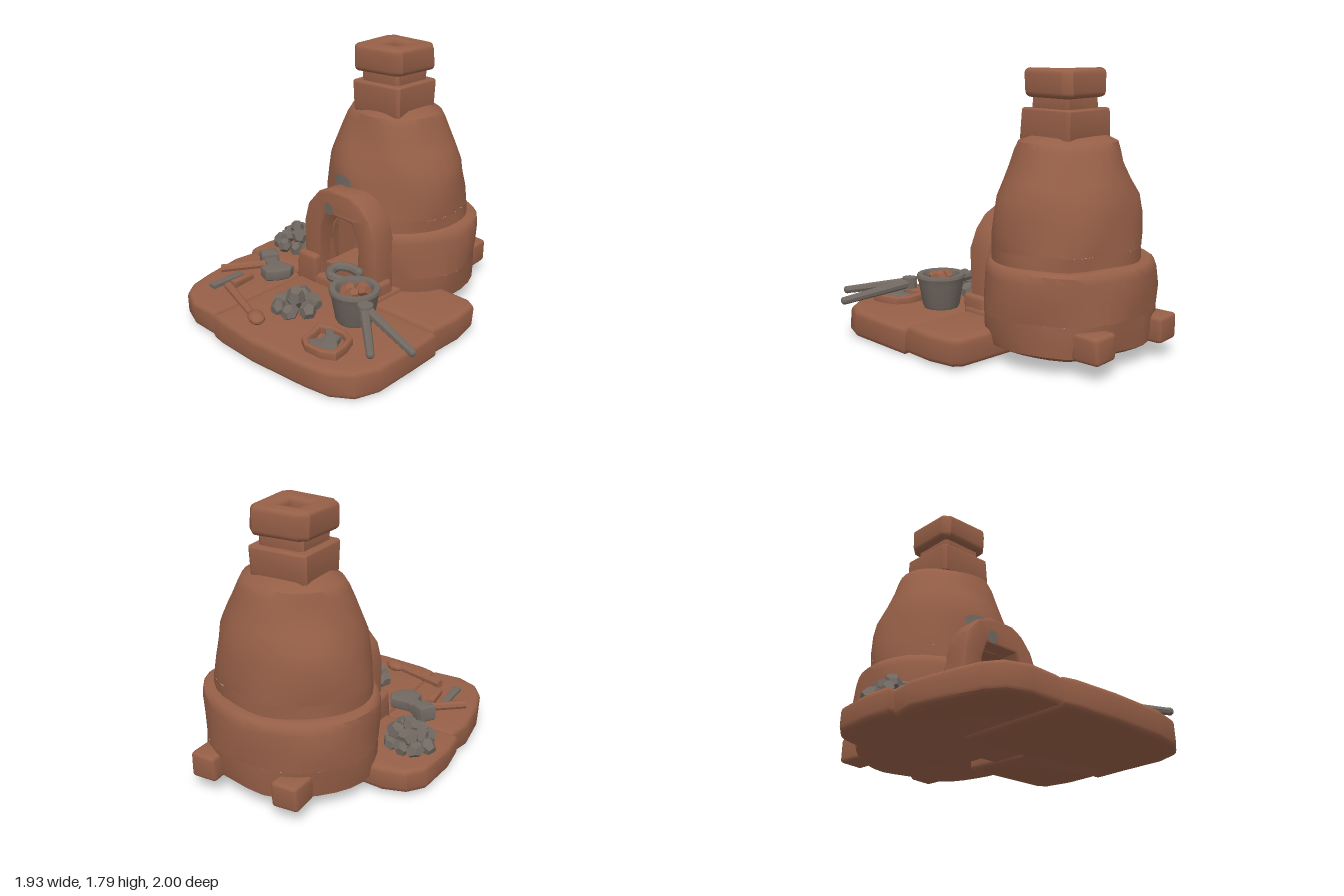
import * as THREE from 'three';
import { toCreasedNormals } from 'three/addons/utils/BufferGeometryUtils.js';
import { RoundedBoxGeometry } from 'three/addons/geometries/RoundedBoxGeometry.js';

const clay = new THREE.MeshStandardMaterial({ color: 0x965f47 });
clay.name = 'clay';
const stone = new THREE.MeshStandardMaterial({ color: 0x716861 });
stone.name = 'grey stone and iron';

const V = (x, y, z) => new THREE.Vector3(x, y, z);

export function createModel() {
  const model = new THREE.Group();

  // Hand-shaped unevenness: a smooth displacement that depends only on position
  function wobble(geo, amount) {
    const p = geo.attributes.position;
    for (let i = 0; i < p.count; i++) {
      const x = p.getX(i), y = p.getY(i), z = p.getZ(i);
      p.setXYZ(i,
        x + amount * Math.sin(11 * y + 9 * z + 1),
        y + amount * 0.6 * Math.sin(10 * x + 8 * z + 2),
        z + amount * Math.sin(12 * x + 10 * y));
    }
    return geo;
  }
  function add(name, geo, mat = clay, parent = model, crease = 0.6) {
    const mesh = new THREE.Mesh(toCreasedNormals(geo, crease), mat);
    mesh.name = name;
    parent.add(mesh);
    return mesh;
  }
  function group(name) {
    const g = new THREE.Group();
    g.name = name;
    model.add(g);
    return g;
  }
  const outline = pts => pts.map(([x, y]) => new THREE.Vector2(x, y));

  // Flat piece from an x/z outline, between two heights, with soft edges
  function slab(name, pts, y0, y1, bevel, mat = clay, parent = model, hole = null, rough = 0.006) {
    const shape = new THREE.Shape(outline(pts));
    if (hole) shape.holes.push(new THREE.Path(outline(hole)));
    const geo = new THREE.ExtrudeGeometry(shape, {
      depth: y1 - y0 - 2 * bevel, bevelEnabled: true, bevelThickness: bevel,
      bevelSize: bevel, bevelOffset: -bevel, bevelSegments: 3, steps: 1,
    });
    geo.rotateX(Math.PI / 2).translate(0, y1 - bevel, 0);
    return add(name, wobble(geo, rough), mat, parent);
  }
  function block(name, x0, x1, y0, y1, z0, z1, parent = model, r = 0.03) {
    const geo = new RoundedBoxGeometry(x1 - x0, y1 - y0, z1 - z0, 2, r);
    geo.translate((x0 + x1) / 2, (y0 + y1) / 2, (z0 + z1) / 2);
    return add(name, wobble(geo, 0.006), clay, parent);
  }
  // Round bar between two points
  function rod(name, a, b, ra, rb, mat, parent) {
    const d = b.clone().sub(a);
    const mesh = add(name, new THREE.CylinderGeometry(rb, ra, d.length(), 8), mat, parent);
    mesh.position.copy(a).addScaledVector(d, 0.5);
    mesh.quaternion.setFromUnitVectors(V(0, 1, 0), d.normalize());
    return mesh;
  }
  function lump(name, x, y, z, r, mat, parent, squash = 0.85) {
    const mesh = add(name, wobble(new THREE.DodecahedronGeometry(r, 0), r * 0.14), mat, parent, 0.3);
    mesh.position.set(x, y, z);
    mesh.rotation.set(x * 17, z * 23, y * 31);
    mesh.scale.set(1, squash, 1.05);
    return mesh;
  }

  // Paving slabs
  slab('frontLeftPaving', [[-0.4, 0.185], [-0.9, 0.18], [-0.93, 0.35], [-0.9, 0.62], [-0.84, 0.8],
    [-0.76, 0.9], [-0.62, 0.955], [-0.4, 0.95]], 0.01, 0.185, 0.035);
  slab('frontPaving', [[-0.4, 0.185], [0.79, 0.18], [0.805, 0.4], [0.79, 0.7], [0.73, 0.85], [0.6, 0.94],
    [0.42, 0.98], [0, 0.995], [-0.3, 0.985], [-0.4, 0.96]], 0, 0.18, 0.035);
  slab('backRightPaving', [[0.1, 0.18], [0.77, 0.18], [0.785, -0.05], [0.765, -0.24], [0.7, -0.285],
    [0.1, -0.3]], 0.01, 0.195, 0.035);
  slab('backLeftPaving', [[-0.25, 0.18], [-0.94, 0.17], [-0.965, 0], [-0.935, -0.28], [-0.85, -0.385],
    [-0.7, -0.425], [-0.25, -0.42]], 0.03, 0.2, 0.04);

  // Furnace body, lathed in bands; the bands around the mouth leave a gap at the front
  const cx = -0.058, furnace = group('furnace');
  function band(name, pts, cz, gap) {
    const geo = new THREE.LatheGeometry(outline(pts), 30, gap, Math.PI * 2 - 2 * gap);
    geo.scale(1, 1, 0.89).translate(cx, 0, cz);
    add(name, wobble(geo, 0.009), clay, furnace, 0.75);
  }
  band('footing', [[0, 0.08], [0.5, 0.08], [0.555, 0.11], [0.57, 0.2], [0.575, 0.3]], -0.45, 0);
  band('footingUpper', [[0.575, 0.3], [0.58, 0.42], [0.575, 0.54], [0.565, 0.59], [0.54, 0.61], [0.48, 0.61]], -0.45, 0.29);
  band('domeLower', [[0.51, 0.56], [0.51, 0.62], [0.508, 0.69]], -0.42, 0.32);
  band('dome', [[0.508, 0.69], [0.505, 0.78], [0.49, 0.9], [0.472, 1.0], [0.425, 1.1], [0.38, 1.2],
    [0.35, 1.28], [0.325, 1.33], [0.24, 1.365], [0, 1.37]], -0.42, 0);

  // Lining of the mouth
  const lining = group('mouthLining');
  const plate = (name, w, h, d, x, y, z) => add(name, new THREE.BoxGeometry(w, h, d).translate(x, y, z), clay, lining);
  plate('mouthBack', 0.38, 0.42, 0.02, cx, 0.495, -0.2);
  plate('mouthFloor', 0.38, 0.02, 0.32, cx, 0.295, -0.05);
  plate('mouthCeiling', 0.38, 0.02, 0.26, cx, 0.7, -0.08);
  for (const s of [-1, 1]) plate('mouthSide', 0.02, 0.42, 0.28, cx + s * 0.18, 0.495, -0.07);

  // Arch around the mouth
  const arch = new THREE.ExtrudeGeometry(new THREE.Shape(outline([[-0.38, 0.17], [-0.38, 0.6], [-0.34, 0.73],
    [-0.25, 0.83], [-0.15, 0.87], [0.04, 0.87], [0.13, 0.83], [0.21, 0.74], [0.255, 0.61], [0.255, 0.17],
    [0.11, 0.17], [0.11, 0.58], [0.06, 0.69], [-0.175, 0.69], [-0.23, 0.58], [-0.23, 0.17]])), {
    depth: 0.15, bevelEnabled: true, bevelSize: 0.02, bevelThickness: 0.02, bevelOffset: -0.02, bevelSegments: 2,
  });
  add('arch', wobble(arch.translate(0, 0, -0.01), 0.006), clay, furnace);
  block('threshold', -0.42, 0.3, 0.03, 0.23, -0.1, 0.19, furnace);
  block('hearthStep', -0.24, 0.12, 0.1, 0.3, -0.1, 0.09, furnace);
  block('leftArchFoot', 0.1, 0.29, 0.15, 0.31, 0, 0.2, furnace);
  block('rightArchFoot', -0.425, -0.24, 0.15, 0.37, 0, 0.205, furnace);

  // Blocks at the back of the footing
  for (const x of [-0.36, 0.24]) block('backFoot', x - 0.09, x + 0.09, 0.1, 0.27, -0.995, -0.8, furnace, 0.025);

  // Chimney: collar, neck and cap sharing one square flue
  const chimney = group('chimney');
  const square = (h, c) => [[-h + c, -h], [h - c, -h], [h, -h + c], [h, h - c], [h - c, h], [-h + c, h], [-h, h - c], [-h, -h + c]]
    .map(([x, z]) => [x + cx, z - 0.39]);
  const flue = [[-0.07, -0.07], [-0.07, 0.07], [0.07, 0.07], [0.07, -0.07]].map(([x, z]) => [x + cx, z - 0.395]);
  slab('chimneyCollar', square(0.203, 0.02), 1.33, 1.535, 0.015, clay, chimney, flue);
  slab('chimneyNeck', square(0.155, 0.02), 1.5, 1.63, 0.01, clay, chimney, flue);
  slab('chimneyCap', square(0.205, 0.05), 1.6, 1.78, 0.035, clay, chimney, flue);

  // Pale patches above the mouth
  const patch = new THREE.CircleGeometry(1, 14).scale(0.09, 0.05, 1).translate(-0.14, 0.885, 0);
  const pp = patch.attributes.position;
  for (let i = 0; i < pp.count; i++) {
    const y = pp.getY(i), r = 0.493 - (y - 0.88) * 0.16, dx = pp.getX(i) - cx;
    pp.setZ(i, -0.42 + 0.89 * Math.sqrt(r * r - dx * dx) + 0.01);
  }
  add('domePatch', wobble(patch, 0.009), stone);
  add('archPatch', wobble(new THREE.CircleGeometry(1, 12).scale(0.042, 0.043, 1).translate(-0.14, 0.735, 0.166), 0.006), stone);

  // Heaps of ore: rings of lumps, smaller towards the top
  function heap(name, x, z, y, layers) {
    const g = group(name);
    layers.forEach(([count, radius, height, size], k) => {
      for (let i = 0; i < count; i++) {
        const a = i / count * Math.PI * 2 + k * 0.6;
        lump('lump', x + radius * Math.cos(a), y + height, z + radius * 1.08 * Math.sin(a), size * (1 + 0.12 * Math.sin(i * 5)), stone, g);
      }
    });
  }
  heap('sideHeap', -0.725, -0.095, 0.19, [[8, 0.12, 0.045, 0.062], [5, 0.075, 0.11, 0.062], [1, 0, 0.16, 0.06]]);
  heap('frontHeap', -0.06, 0.56, 0.17, [[6, 0.11, 0.045, 0.066], [1, 0.01, 0.095, 0.075]]);

  // Crucible with lumps inside
  const crucible = group('crucible');
  const pot = new THREE.LatheGeometry(outline([[0, 0.18], [0.115, 0.18], [0.125, 0.2], [0.15, 0.35], [0.165, 0.39],
    [0.16, 0.408], [0.125, 0.408], [0.115, 0.39], [0.11, 0.33], [0, 0.33]]), 20);
  add('crucibleWall', pot.translate(0.305, 0, 0.395), stone, crucible);
  for (const [x, z, y] of [[0.26, 0.4, 0.37], [0.34, 0.36, 0.39], [0.32, 0.43, 0.37]]) lump('charge', x, y, z, 0.055, clay, crucible);

  // Tongs: curved jaw, pivot and two handles
  const tongs = group('tongs');
  const jaw = new THREE.CatmullRomCurve3([[0.14, 0.175], [0.06, 0.165], [-0.015, 0.2], [-0.02, 0.27], [0.04, 0.335],
    [0.12, 0.335], [0.2, 0.32]].map(([x, z]) => V(x, 0.37, z)));
  add('jaw', new THREE.TubeGeometry(jaw, 28, 0.032, 8), stone, tongs);
  add('jawTip', new THREE.SphereGeometry(0.032, 8, 6).translate(0.14, 0.37, 0.175), stone, tongs);
  add('pivot', new THREE.CylinderGeometry(0.05, 0.05, 0.07, 10).translate(0.49, 0.36, 0.5), stone, tongs);
  for (const [x, y, z] of [[0.94, 0.3, 0.6], [0.79, 0.31, 0.79]]) {
    rod('handle', V(0.46, 0.365, 0.48), V(x, y, z), 0.034, 0.025, stone, tongs);
    add('handleEnd', new THREE.SphereGeometry(0.026, 8, 6).translate(x, y, z), stone, tongs);
  }

  // Hammer with a fan-shaped blade
  const hammer = group('hammer');
  rod('hammerHandle', V(-0.83, 0.21, 0.55), V(-0.6, 0.235, 0.3), 0.03, 0.028, clay, hammer);
  slab('hammerPoll', [[-0.66, 0.18], [-0.58, 0.22], [-0.64, 0.33], [-0.73, 0.28]], 0.19, 0.3, 0.015, stone, hammer);
  slab('hammerBlade', [[-0.61, 0.23], [-0.52, 0.27], [-0.4, 0.26], [-0.375, 0.32], [-0.41, 0.4], [-0.47, 0.455],
    [-0.56, 0.42], [-0.56, 0.35], [-0.65, 0.31]], 0.195, 0.275, 0.015, stone, hammer);

  // Small tools lying on the paving
  slab('chisel', [[-0.72, 0.49], [-0.67, 0.485], [-0.655, 0.75], [-0.71, 0.75]], 0.17, 0.212, 0.008, stone);
  slab('woodenPeg', [[-0.635, 0.465], [-0.59, 0.46], [-0.57, 0.63], [-0.62, 0.635]], 0.17, 0.225, 0.01);
  const ladle = group('ladle');
  rod('ladleHandle', V(-0.57, 0.225, 0.7), V(-0.2, 0.205, 0.82), 0.03, 0.024, clay, ladle);
  const bowl = add('ladleBowl', new THREE.SphereGeometry(1, 10, 7).scale(0.08, 0.035, 0.055), clay, ladle);
  bowl.position.set(-0.14, 0.205, 0.83);
  bowl.rotation.y = -0.5;

  // Casting mould with its filling
  const mould = group('castingMould');
  const rim = [[0.22, 0.65], [0.3, 0.6], [0.42, 0.585], [0.5, 0.62], [0.545, 0.72], [0.56, 0.82], [0.48, 0.865],
    [0.35, 0.875], [0.27, 0.83], [0.25, 0.73]];
  const inner = rim.map(([x, z]) => [0.4 + (x - 0.4) * 0.74, 0.73 + (z - 0.73) * 0.74]);
  slab('mouldRim', rim, 0.165, 0.232, 0.012, clay, mould, inner);
  slab('mouldFilling', [[0.32, 0.6], [0.37, 0.65], [0.42, 0.64], [0.45, 0.7], [0.53, 0.77], [0.46, 0.83],
    [0.36, 0.85], [0.29, 0.82], [0.35, 0.75], [0.34, 0.69], [0.28, 0.65]], 0.165, 0.222, 0.008, stone, mould);

  return model;
}
